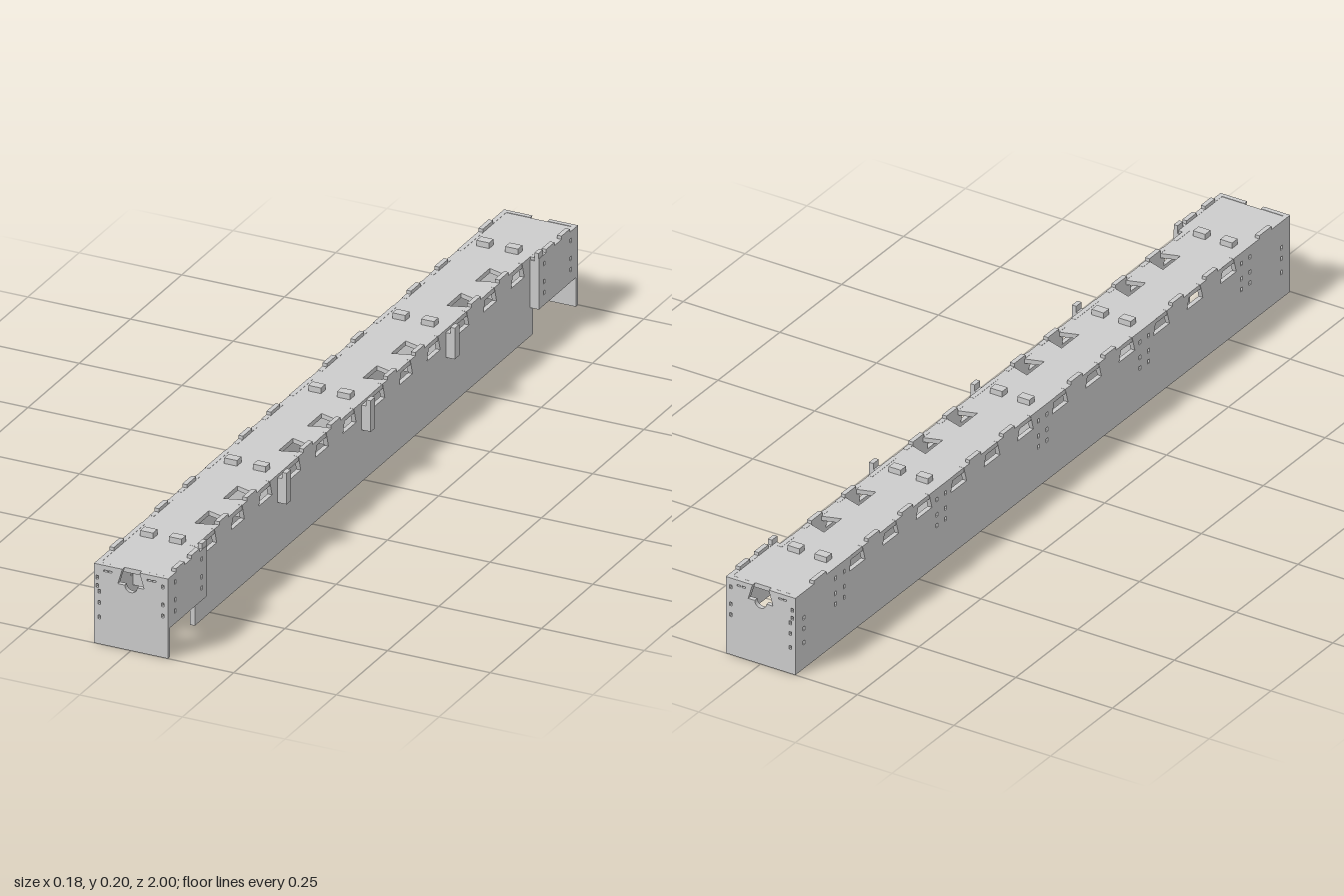
import * as THREE from 'three';

const T = 0.011, TOP = 0.192, TAB = 0.2;
const mat = new THREE.MeshStandardMaterial({ color: 0xcccccc, flatShading: true, side: THREE.DoubleSide });

// Flat sheet cut from an outline, with holes given as point lists
function sheet(name, pts, holes = [], depth = T) {
  const shape = new THREE.Shape(pts.map(p => new THREE.Vector2(...p)));
  for (const h of holes) shape.holes.push(new THREE.Path(h.map(p => new THREE.Vector2(...p))));
  const mesh = new THREE.Mesh(new THREE.ExtrudeGeometry(shape, { depth, bevelEnabled: false }), mat);
  mesh.name = name;
  return mesh;
}
const rect = (x, y, w, h) => [
  [x - w / 2, y - h / 2], [x + w / 2, y - h / 2], [x + w / 2, y + h / 2], [x - w / 2, y + h / 2]];

// Dovetail notch open at the top edge, optionally with a rounded relief below
function notch(u, relief = false) {
  const p = [[u - 0.021, TOP], [u - 0.032, 0.155]];
  if (relief) for (let i = 0; i <= 12; i++) {
    const a = Math.PI * (1 + i / 12);
    p.push([u + 0.015 * Math.cos(a), 0.155 + 0.015 * Math.sin(a)]);
  }
  return [...p, [u + 0.032, 0.155], [u + 0.021, TOP]];
}
const tab = (u, w, h = TAB) => [[u - w / 2, TOP], [u - w / 2, h], [u + w / 2, h], [u + w / 2, TOP]];

// Panel outline whose top edge carries notches and tabs
function edged(u0, u1, y0, features) {
  const top = features.sort((a, b) => a[0][0] - b[0][0]).flat();
  return [[u0, y0], [u0, TOP], ...top, [u1, TOP], [u1, y0]];
}

export function createModel() {
  const model = new THREE.Group();
  const side = (mesh, outerX) => {
    mesh.rotation.y = -Math.PI / 2;
    mesh.position.x = outerX;
    model.add(mesh);
  };
  const notchZ = [0.07, 0.205, 0.34, 0.48, 0.615, 0.75].flatMap(z => [-z, z]);
  const tabZ = [0.137, 0.273, 0.547, 0.683].flatMap(z => [-z, z]);
  const ribZ = [-0.82, -0.41, 0, 0.41, 0.82];

  // Long full-length wall with pin holes beside each rib
  const pins = ribZ.flatMap(z => [-0.022, 0.022].flatMap(d =>
    [0.1, 0.127, 0.165].map(y => rect(z + d * 0.8, y, 0.008, 0.01))));
  for (const z of [-0.965, 0.965]) for (const y of [0.065, 0.1, 0.127]) pins.push(rect(z, y, 0.008, 0.01));
  side(sheet('longWall', edged(-0.989, 0.989, 0,
    [...notchZ.map(z => notch(z)), ...tabZ.map(z => tab(z, 0.045)),
      ...[-0.9, 0.9].map(z => tab(z, 0.05))]), pins), -0.09 + T);

  // Recessed wall between the end bays
  side(sheet('recessedWall', edged(-0.825, 0.825, 0,
    [...notchZ.map(z => notch(z)), ...tabZ.map(z => tab(z, 0.045))])), 0.068);

  // Top deck, wider over the end bays, with dovetail openings
  const decks = [0.135, 0.275, 0.545, 0.685].flatMap(z => [-z, z]);
  const deck = sheet('topDeck', [
    [-0.089, -0.988], [0.089, -0.988], [0.089, -0.812], [0.067, -0.812],
    [0.067, 0.812], [0.089, 0.812], [0.089, 0.988], [-0.089, 0.988]],
  decks.map(z => [[0.015, z - 0.035], [0.058, z - 0.021], [0.058, z + 0.021], [0.015, z + 0.035]]));
  deck.rotation.x = Math.PI / 2;
  deck.position.y = TOP - 0.0005;
  model.add(deck);

  // End panels with dovetail, relief, slots and pin holes
  const endHoles = [
    [-0.077, 0.065], [-0.077, 0.1], [-0.077, 0.127], [-0.082, 0.14], [-0.082, 0.16],
    [0.077, 0.1], [0.077, 0.127], [0.077, 0.17]].map(p => rect(...p, 0.006, 0.009));
  for (const x of [-0.062, -0.051, 0.044, 0.056]) endHoles.push(rect(x, 0.179, 0.009, 0.004));
  for (const s of [-1, 1]) {
    const end = sheet(s > 0 ? 'frontEndPanel' : 'backEndPanel',
      edged(-0.09, 0.09, 0, [notch(0, true)]), endHoles);
    end.position.z = s > 0 ? 1 - T : -1;
    model.add(end);

    // Short side panel of the end bay, open underneath
    const holes = [0.835, 0.965].flatMap(z => [0.1, 0.127, 0.17].map(y => rect(s * z, y, 0.008, 0.01)));
    const [a, b] = s > 0 ? [0.81, 0.989] : [-0.989, -0.81];
    side(sheet('endBaySide', edged(a, b, 0.07, [tab(s * 0.865, 0.04), tab(s * 0.94, 0.04)]), holes), 0.09);
  }

  // Cross ribs whose tabs rise through the deck and out of the recessed wall
  for (const z of ribZ) {
    const out = Math.abs(z) > 0.8 ? [[0.089, 0.07], [0.089, 0.205]]
      : [[0.06, 0.07], [0.06, 0.125], [0.09, 0.125], [0.09, 0.2]];
    const innerTop = out[out.length - 1][1];
    const rib = sheet('crossRib', [
      [-0.08, 0.07], ...out, [0.079, innerTop], [0.079, 0.185],
      [0.039, 0.185], [0.039, 0.205], [0.008, 0.205], [0.008, 0.185],
      [-0.031, 0.185], [-0.031, 0.205], [-0.062, 0.205], [-0.062, 0.185], [-0.08, 0.185]],
    [], 0.022);
    rib.position.z = z - 0.011;
    model.add(rib);
  }
  return model;
}
